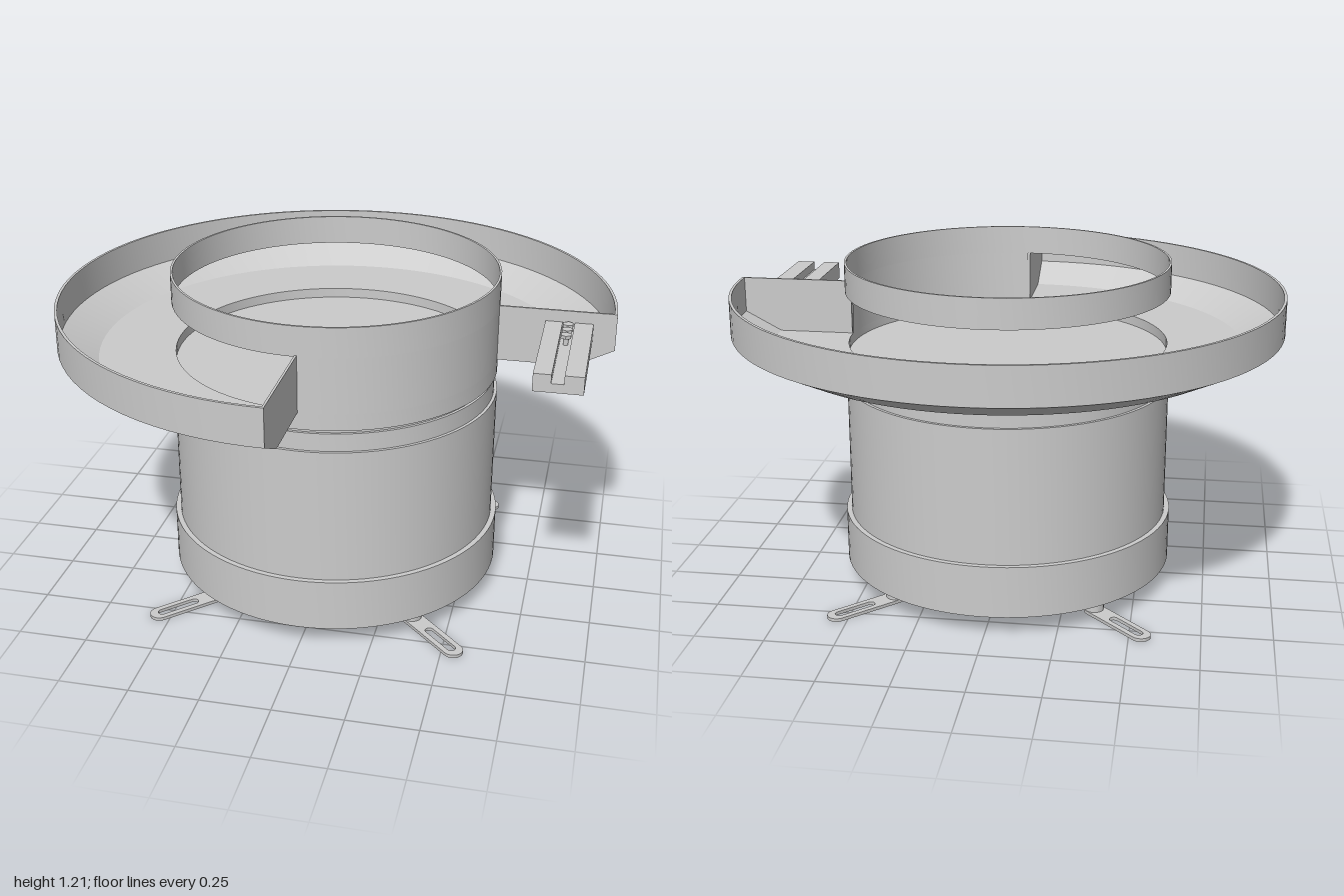
import * as THREE from 'three';
import { toCreasedNormals } from 'three/addons/utils/BufferGeometryUtils.js';

const material = new THREE.MeshStandardMaterial({ color: 0xcccccc, side: THREE.DoubleSide });
const SEG = 96;
const QUARTER = Math.PI / 2;

export function createModel() {
  const model = new THREE.Group();

  const add = (name, geometry, parent = model) => {
    const mesh = new THREE.Mesh(toCreasedNormals(geometry, 0.4), material);
    mesh.name = name;
    parent.add(mesh);
    return mesh;
  };
  const points = (list) => list.map(([x, y]) => new THREE.Vector2(x, y));
  const lathe = (list, start = 0, length = Math.PI * 2) =>
    new THREE.LatheGeometry(points(list), Math.round((SEG * length) / (Math.PI * 2)), start, length);
  const extrude = (shape, depth) =>
    new THREE.ExtrudeGeometry(shape, { depth, bevelEnabled: false, curveSegments: 12 });
  // closed rectangular section for a ring wall
  const band = (inner, outer, low, high) =>
    [[inner, low], [outer, low], [outer, high], [inner, high], [inner, low]];

  // Drive unit: base collar, drum and stepped neck
  add('baseCollar', lathe([[0, 0.075], [0.612, 0.075], [0.612, 0.265], [0.59, 0.265]]));
  add('driveDrum', lathe([[0.593, 0.26], [0.593, 0.76], [0.58, 0.76]]));
  add('neck', lathe([[0.582, 0.755], [0.582, 0.825], [0.572, 0.825], [0.572, 0.842]]));

  // Bowl: floor dish, full-height wall in the open quarter, ring above the track
  add('bowlFloor', lathe([[0, 0.84], [0.59, 0.84], [0.59, 0.9], [0.582, 0.9], [0.582, 0.87], [0, 0.87]]));
  add('bowlWall', lathe(band(0.582, 0.59, 0.9, 1.1), 0, QUARTER));
  add('bowlRing', lathe(band(0.582, 0.59, 1.1, 1.207)));

  // Three-quarter track around the bowl, with a sloping outer edge and rim
  add('track', lathe([
    [0.582, 0.9], [0.86, 0.9], [1, 0.97], [1, 1.105],
    [0.99, 1.105], [0.99, 0.977], [0.858, 0.907], [0.582, 0.907], [0.582, 0.9],
  ], QUARTER, 3 * QUARTER));

  // Plates closing both ends of the track
  const endShape = new THREE.Shape(points([[0.585, 0.9], [0.86, 0.9], [1, 0.97], [1, 1.105], [0.585, 1.105]]));
  add('outletEndPlate', extrude(endShape, 0.008).translate(0, 0, -0.008));
  add('frontEndPlate', extrude(endShape, 0.008).rotateY(-QUARTER));

  // Grooved outlet rail
  const railShape = new THREE.Shape(points([
    [0.753, 1], [0.92, 1], [0.92, 1.063], [0.855, 1.063],
    [0.855, 1.032], [0.813, 1.032], [0.813, 1.063], [0.753, 1.063],
  ]));
  add('outletRail', extrude(railShape, 0.47));

  // Small bolts queued in the groove
  for (let i = 0; i < 3; i++) {
    const bolt = new THREE.Group();
    bolt.name = 'feedBolt';
    bolt.position.set(0.834, 1.032, 0.03 + i * 0.05);
    add('boltShank', new THREE.CylinderGeometry(0.009, 0.009, 0.03, 12).translate(0, 0.015, 0), bolt);
    add('boltHead', new THREE.CylinderGeometry(0.02, 0.02, 0.012, 6).translate(0, 0.032, 0), bolt);
    model.add(bolt);
  }

  // Slotted mounting feet on short posts
  const slotOutline = (path, from, to, radius) => {
    path.absarc(to, 0, radius, -QUARTER, QUARTER);
    path.absarc(from, 0, radius, QUARTER, 3 * QUARTER);
    path.closePath();
    return path;
  };
  const tabShape = slotOutline(new THREE.Shape(), 0.516, 0.765, 0.036);
  tabShape.holes.push(slotOutline(new THREE.Path(), 0.625, 0.755, 0.016));
  for (let i = 0; i < 4; i++) {
    const foot = new THREE.Group();
    foot.name = 'mountingFoot';
    foot.rotation.y = QUARTER * (i + 0.5);
    add('footTab', extrude(tabShape, 0.012).rotateX(-QUARTER), foot);
    add('footPost', new THREE.CylinderGeometry(0.035, 0.035, 0.07, 24).translate(0.516, 0.043, 0), foot);
    model.add(foot);
  }

  return model;
}
